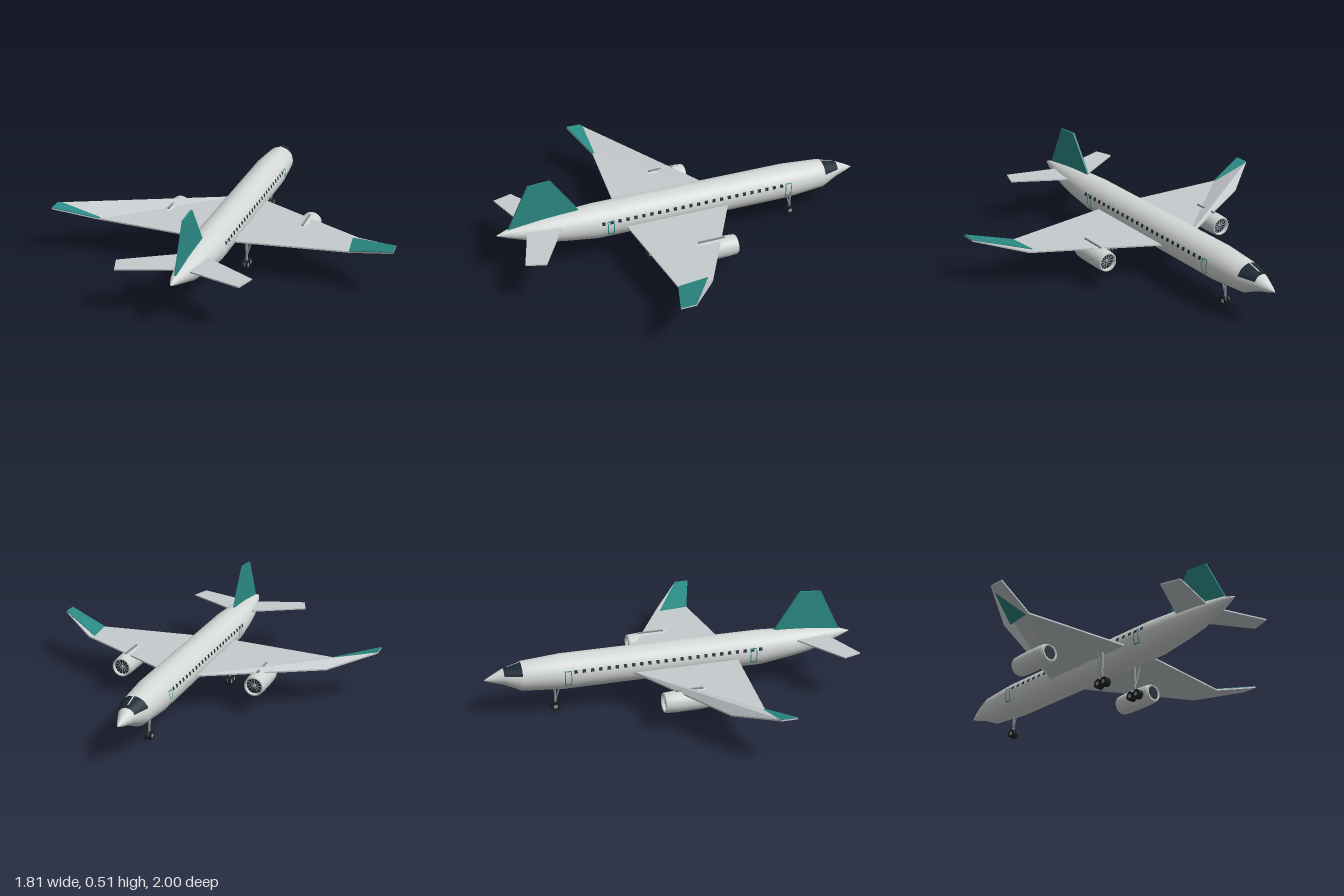
import * as THREE from 'three';
import { mergeGeometries } from 'three/addons/utils/BufferGeometryUtils.js';

const paint = (name, color, side = THREE.FrontSide) => {
  const m = new THREE.MeshStandardMaterial({ color, side });
  m.name = name;
  return m;
};

export function createModel() {
  const body = paint('bodyGrey', 0xd3d7d5);
  const wingGrey = paint('wingGrey', 0xc6cbcd, THREE.DoubleSide);
  const teal = paint('teal', 0x2b8a84, THREE.DoubleSide);
  const glass = paint('darkGlass', 0x1c2833);
  const rubber = paint('rubber', 0x1b1e22);
  const metal = paint('metal', 0x8d9498);
  const nacelleGrey = paint('nacelleGrey', 0xcfd3d2, THREE.DoubleSide);

  const plane = new THREE.Group();
  plane.name = 'airliner';
  const add = (name, geo, mat, parent = plane) => {
    const m = new THREE.Mesh(geo, mat);
    m.name = name;
    parent.add(m);
    return m;
  };

  // Fuselage stations: z, centre height, radius
  const stations = [
    [-1, 0.217, 0.001], [-0.97, 0.22, 0.016], [-0.9, 0.227, 0.043], [-0.81, 0.219, 0.077],
    [-0.6, 0.2175, 0.093], [0.48, 0.2175, 0.093], [0.66, 0.225, 0.077], [0.77, 0.231, 0.063],
    [0.94, 0.249, 0.024], [1, 0.25, 0.002],
  ];
  const sectionAt = (z) => {
    let i = 0;
    while (i < stations.length - 2 && z > stations[i + 1][0]) i++;
    const [a, b] = [stations[i], stations[i + 1]];
    const t = (z - a[0]) / (b[0] - a[0]);
    return [a[1] + (b[1] - a[1]) * t, a[2] + (b[2] - a[2]) * t];
  };
  // Skin patch between two angles (measured from the top) along a list of z values
  const skin = (zs, t0, t1, steps, lift = 0) => {
    const pos = [], idx = [], row = steps + 1;
    zs.forEach((z, i) => {
      const [cy, r] = sectionAt(z);
      for (let j = 0; j <= steps; j++) {
        const t = t0 + ((t1 - t0) * j) / steps;
        pos.push(Math.sin(t) * (r + lift), cy + Math.cos(t) * (r + lift), z);
        if (i && j) {
          const d = i * row + j, c = d - 1, b = d - row, a = b - 1;
          idx.push(a, c, b, b, c, d);
        }
      }
    });
    const g = new THREE.BufferGeometry();
    g.setAttribute('position', new THREE.Float32BufferAttribute(pos, 3));
    g.setIndex(idx);
    g.computeVertexNormals();
    return g;
  };
  add('fuselage', skin(stations.map((s) => s[0]), 0, Math.PI * 2, 40), body);
  add('cockpitWindow', skin([-0.9, -0.87, -0.84, -0.81], -1.2, 1.2, 20, 0.002), glass);
  add('windscreenPost', skin([-0.88, -0.81], -0.05, 0.05, 2, 0.004), body);

  // Cabin windows and door outlines, wrapped onto both sides
  const sidePatch = (side, z0, z1, y0, y1, lift) => {
    const a = Math.acos((y1 - 0.2175) / 0.093), b = Math.acos((y0 - 0.2175) / 0.093);
    return side > 0 ? skin([z0, z1], a, b, 3, lift) : skin([z0, z1], -b, -a, 3, lift);
  };
  for (const side of [1, -1]) {
    const windows = [], doors = [];
    for (let i = 0; i < 24; i++) {
      const z = -0.54 + i * 0.0435;
      windows.push(sidePatch(side, z - 0.009, z + 0.009, 0.237, 0.254, 0.002));
    }
    for (const z of [-0.58, 0.422]) {
      for (const dz of [-0.016, 0.016])
        doors.push(sidePatch(side, z + dz - 0.0025, z + dz + 0.0025, 0.177, 0.253, 0.003));
      for (const y of [0.179, 0.251])
        doors.push(sidePatch(side, z - 0.0185, z + 0.0185, y - 0.0025, y + 0.0025, 0.003));
    }
    add('cabinWindows', mergeGeometries(windows), glass);
    add('doorFrames', mergeGeometries(doors), teal);
  }

  // Thin slab: outline points [x, y, z] with listed top triangles
  const slab = (pts, tris, thick, side = 1) => {
    const pos = [], n = pts.length;
    const v = (i, up) => [pts[i][0] * side, pts[i][1] + (up * thick) / 2, pts[i][2]];
    const tri = (...c) => {
      if (side < 0) c.reverse();
      c.forEach((p) => pos.push(...p));
    };
    for (const [a, b, c] of tris) {
      tri(v(a, 1), v(c, 1), v(b, 1));
      tri(v(a, -1), v(b, -1), v(c, -1));
    }
    for (let i = 0; i < n; i++) {
      const j = (i + 1) % n;
      tri(v(i, -1), v(i, 1), v(j, 1));
      tri(v(i, -1), v(j, 1), v(j, -1));
    }
    const g = new THREE.BufferGeometry();
    g.setAttribute('position', new THREE.Float32BufferAttribute(pos, 3));
    g.computeVertexNormals();
    return g;
  };
  const wingOutline = [
    [0.07, 0.198, -0.24], [0.68, 0.198, 0.1], [0.905, 0.259, 0.275],
    [0.905, 0.259, 0.355], [0.67, 0.198, 0.277], [0.07, 0.198, 0.337],
  ];
  const flatTris = [[0, 1, 4], [0, 4, 5], [1, 2, 4], [2, 3, 4]];
  const foldedTris = [[0, 1, 2], [0, 2, 4], [2, 3, 4], [0, 4, 5]];
  const tipOutline = [
    [0.652, 0.203, 0.115], [0.905, 0.264, 0.275], [0.905, 0.264, 0.355], [0.67, 0.203, 0.277],
  ];
  const stabOutline = [[0.03, 0.257, 0.655], [0.34, 0.257, 0.835], [0.308, 0.257, 0.935], [0.02, 0.257, 0.845]];
  const quad = [[0, 1, 3], [1, 2, 3]];

  // Rod between two points
  const rod = (name, a, b, r, parent) => {
    const from = new THREE.Vector3(...a), to = new THREE.Vector3(...b);
    const dir = to.clone().sub(from);
    const m = add(name, new THREE.CylinderGeometry(r, r, dir.length(), 12), metal, parent);
    m.position.copy(from).addScaledVector(dir, 0.5);
    m.quaternion.setFromUnitVectors(new THREE.Vector3(0, 1, 0), dir.normalize());
  };
  // Pair of wheels on one axle
  const wheelPair = (x, z, parent) => {
    for (const dx of [-0.01, 0.01]) {
      const tyre = add('tyre', new THREE.CylinderGeometry(0.024, 0.024, 0.012, 20), rubber, parent);
      const hub = add('hub', new THREE.CylinderGeometry(0.011, 0.011, 0.0145, 14), metal, parent);
      for (const m of [tyre, hub]) {
        m.rotation.z = Math.PI / 2;
        m.position.set(x + dx, 0.024, z);
      }
    }
  };

  for (const side of [1, -1]) {
    const label = side > 0 ? 'left' : 'right';
    add(label + 'Wing', slab(wingOutline, side > 0 ? flatTris : foldedTris, 0.008, side), wingGrey);
    add(label + 'WingTipPanel', slab(tipOutline, quad, 0.004, side), teal);
    add(label + 'Stabilizer', slab(stabOutline, quad, 0.007, side), wingGrey);

    // Engine with fan and exhaust
    const engine = new THREE.Group();
    engine.name = label + 'Engine';
    engine.position.set(0.37 * side, 0.151, 0);
    plane.add(engine);
    const profile = [
      [0.041, -0.12], [0.042, -0.15], [0.047, -0.156], [0.052, -0.148], [0.055, -0.1],
      [0.055, 0.03], [0.052, 0.07], [0.047, 0.088], [0.037, 0.09], [0.036, 0.075],
    ].map((p) => new THREE.Vector2(...p));
    add('nacelle', new THREE.LatheGeometry(profile, 32).rotateX(Math.PI / 2), nacelleGrey, engine);
    add('fanDisc', new THREE.CircleGeometry(0.042, 28).rotateY(Math.PI), glass, engine).position.z = -0.135;
    add('exhaust', new THREE.CircleGeometry(0.037, 28), glass, engine).position.z = 0.084;
    const blades = [];
    for (let i = 0; i < 12; i++)
      blades.push(new THREE.BoxGeometry(0.0035, 0.028, 0.004).translate(0, 0.025, -0.138).rotateZ((i * Math.PI) / 6));
    add('fanBlades', mergeGeometries(blades), metal, engine);
    add('spinner', new THREE.ConeGeometry(0.01, 0.018, 14).rotateX(-Math.PI / 2), metal, engine).position.z = -0.145;
    add('pylon', new THREE.BoxGeometry(0.009, 0.03, 0.145), metal, engine).position.set(0, 0.047, -0.02);

    // Main landing gear with four-wheel bogie
    const gear = new THREE.Group();
    gear.name = label + 'MainGear';
    plane.add(gear);
    const x = 0.115 * side;
    rod('strut', [x, 0.03, 0.2], [x, 0.197, 0.2], 0.006, gear);
    rod('upperStrut', [x, 0.1, 0.2], [x, 0.197, 0.2], 0.009, gear);
    rod('brace', [x, 0.06, 0.2], [0.155 * side, 0.197, 0.2], 0.004, gear);
    rod('bogieBeam', [x, 0.026, 0.178], [x, 0.026, 0.224], 0.005, gear);
    for (const z of [0.179, 0.223]) wheelPair(x, z, gear);
  }

  // Nose landing gear
  const noseGear = new THREE.Group();
  noseGear.name = 'noseGear';
  plane.add(noseGear);
  rod('strut', [0, 0.024, -0.637], [0, 0.15, -0.637], 0.006, noseGear);
  rod('brace', [0, 0.05, -0.637], [0, 0.14, -0.608], 0.004, noseGear);
  wheelPair(0, -0.637, noseGear);

  // Tail fin, drawn in the side plane
  const fin = new THREE.Shape(
    [[0.565, 0.29], [0.565, 0.304], [0.705, 0.511], [0.825, 0.503], [0.94, 0.272], [0.93, 0.255]].map(
      (p) => new THREE.Vector2(-p[0], p[1])));
  const finGeo = new THREE.ExtrudeGeometry(fin, { depth: 0.01, bevelEnabled: false });
  add('tailFin', finGeo.translate(0, 0, -0.005).rotateY(Math.PI / 2), teal);

  return plane;
}
